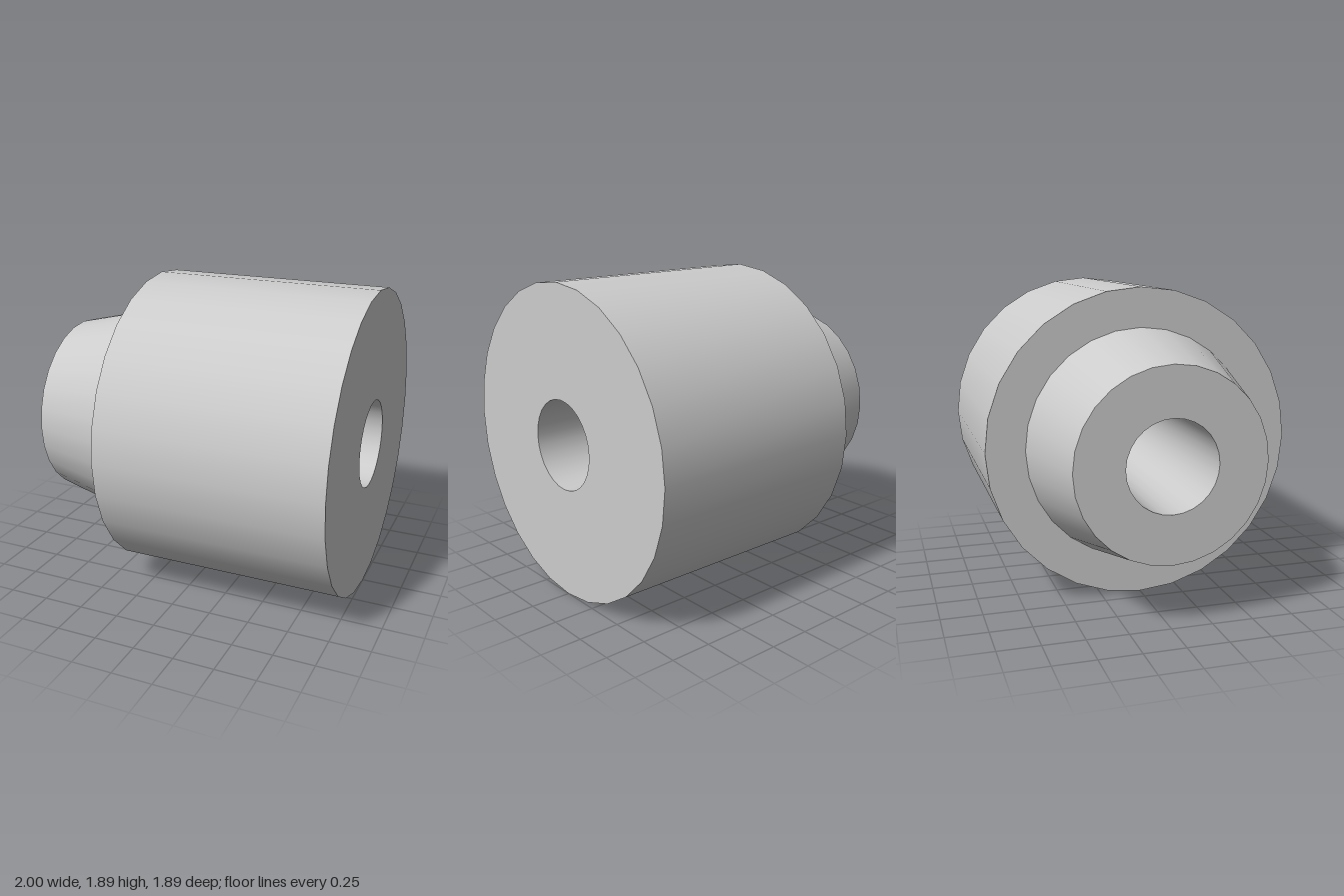
import * as THREE from 'three';
import { mergeGeometries } from 'three/addons/utils/BufferGeometryUtils.js';

const SIDES = 28;
const BODY_R = 0.946;
const BORE_R = 0.272;
const STEP_X = -0.404;
const STEP_R = 0.708;
const END_R = 0.567;

// Revolve a [radius, x] outline about the x axis, with a sharp edge at every point
function revolve(name, outline, material) {
  const strips = [];
  for (let i = 0; i < outline.length - 1; i++) {
    const ends = [outline[i], outline[i + 1]].map(([r, x]) => new THREE.Vector2(r, x));
    const strip = new THREE.LatheGeometry(ends, SIDES);
    strip.normalizeNormals();
    strips.push(strip);
  }
  const geometry = mergeGeometries(strips);
  geometry.rotateZ(-Math.PI / 2);
  const mesh = new THREE.Mesh(geometry, material);
  mesh.name = name;
  mesh.position.y = BODY_R;
  return mesh;
}

export function createModel() {
  const group = new THREE.Group();
  group.name = 'steppedBushing';
  const grey = new THREE.MeshStandardMaterial({ color: 0xcccccc });

  // Wide cylinder with its shoulder and flat end
  group.add(revolve('body', [[STEP_R, STEP_X], [BODY_R, STEP_X], [BODY_R, 1], [BORE_R, 1]], grey));

  // Tapered neck with its flat end
  group.add(revolve('neck', [[BORE_R, -1], [END_R, -1], [STEP_R, STEP_X]], grey));

  // Straight hole through the whole length
  group.add(revolve('bore', [[BORE_R, 1], [BORE_R, -1]], grey));

  return group;
}
